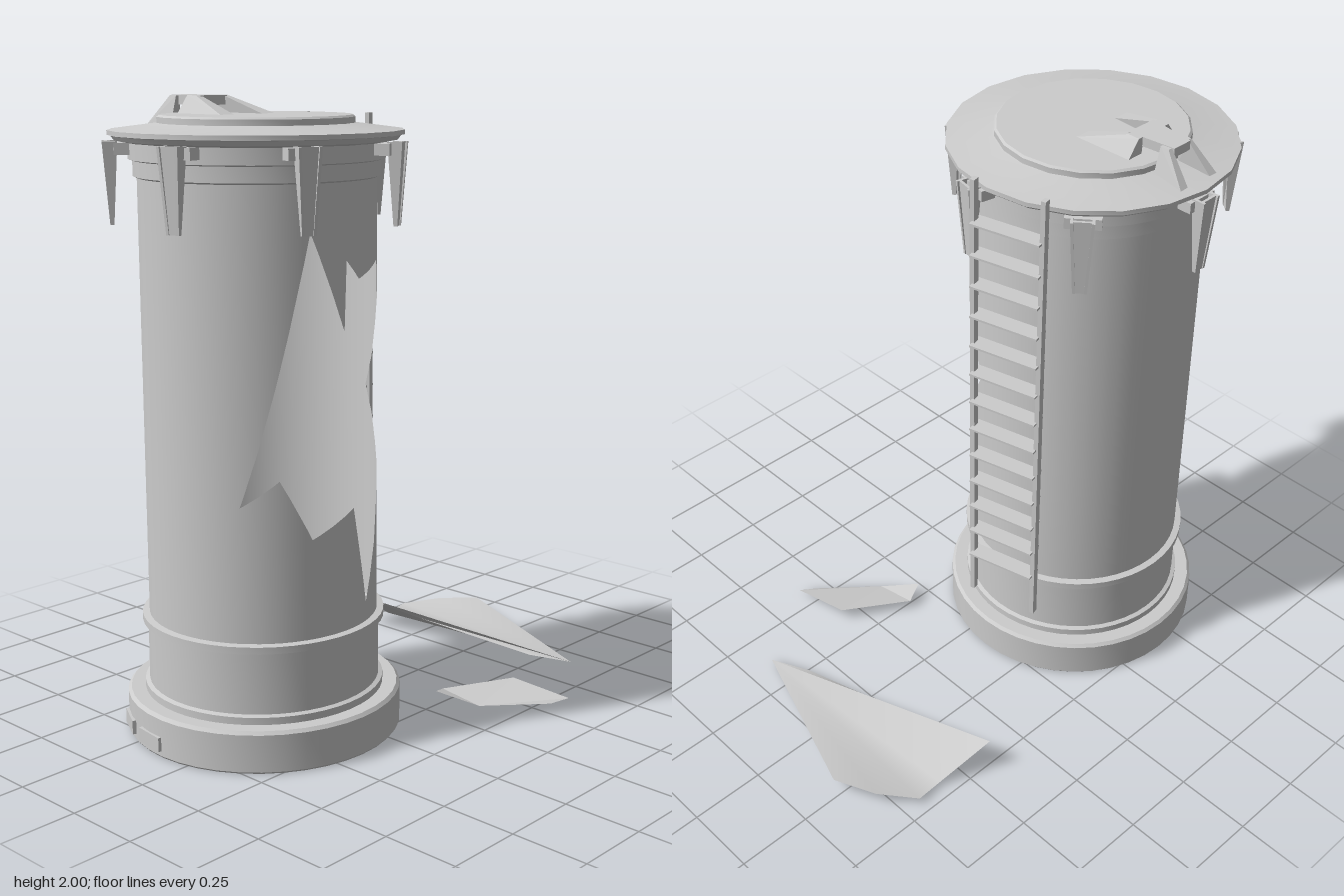
import * as THREE from 'three';
import { toCreasedNormals } from 'three/addons/utils/BufferGeometryUtils.js';
import { ConvexGeometry } from 'three/addons/geometries/ConvexGeometry.js';

const grey = new THREE.MeshStandardMaterial({ color: 0xcccccc, side: THREE.DoubleSide });
const flat = new THREE.MeshStandardMaterial({ color: 0xcccccc, side: THREE.DoubleSide, flatShading: true });
const R = 0.365, WALL_BOTTOM = 0.37, WALL_TOP = 1.77;

function add(parent, name, geometry, material = grey) {
  const mesh = new THREE.Mesh(geometry, material);
  mesh.name = name;
  parent.add(mesh);
  return mesh;
}
function box(parent, name, w, h, d, x, y, z) {
  const mesh = add(parent, name, new THREE.BoxGeometry(w, h, d));
  mesh.position.set(x, y, z);
  return mesh;
}
function lathe(parent, name, profile, segments) {
  const points = profile.map(([r, y]) => new THREE.Vector2(r, y));
  return add(parent, name, toCreasedNormals(new THREE.LatheGeometry(points, segments), 0.5));
}
function convex(parent, name, points) {
  return add(parent, name, new ConvexGeometry(points.map(p => new THREE.Vector3(...p))));
}
function lerpChain(chain, s) {
  for (let i = 0; i < chain.length - 1; i++) {
    const [s0, y0] = chain[i], [s1, y1] = chain[i + 1];
    if (s <= s0 && s >= s1) return y0 + (y1 - y0) * (s0 - s) / (s0 - s1);
  }
  return chain[chain.length - 1][1];
}

// Cylinder wall, split into columns that stop at the torn opening's lower and upper edges
function wallGeometry() {
  const upper = [[0.295, 0.81], [0.12, 1.62], [0, 1.32], [-0.01, 1.53], [-0.07, 1.47], [-0.21, 1.51], [-0.29, 1.30], [-0.34, 1.08]];
  const lower = [[0.295, 0.81], [0.21, 0.89], [0.12, 0.70], [-0.04, 0.77], [-0.11, 0.45], [-0.18, 0.62], [-0.22, 0.78], [-0.29, 0.91], [-0.34, 1.08]];
  const angleOf = s => Math.asin(s / R);
  const start = angleOf(-0.34), end = angleOf(0.295);
  const angles = [...upper, ...lower].map(p => angleOf(p[0]));
  for (let i = 0; i < 48; i++) angles.push(-Math.PI / 2 + i * Math.PI / 24);
  angles.push(Math.PI * 1.5);
  angles.sort((a, b) => a - b);

  const pos = [], norm = [], index = [];
  const vertex = (a, y) => {
    pos.push(R * Math.cos(a), y, R * Math.sin(a));
    norm.push(Math.cos(a), 0, Math.sin(a));
  };
  const quad = (a0, a1, b0, b1, t0, t1) => {
    const n = pos.length / 3;
    vertex(a0, b0); vertex(a1, b1); vertex(a1, t1); vertex(a0, t0);
    index.push(n, n + 3, n + 2, n, n + 2, n + 1);
  };
  for (let i = 0; i < angles.length - 1; i++) {
    const a0 = angles[i], a1 = angles[i + 1], mid = (a0 + a1) / 2;
    if (a1 - a0 < 1e-6) continue;
    if (mid < start || mid > end) {
      quad(a0, a1, WALL_BOTTOM, WALL_BOTTOM, WALL_TOP, WALL_TOP);
      continue;
    }
    const s0 = R * Math.sin(a0), s1 = R * Math.sin(a1);
    quad(a0, a1, WALL_BOTTOM, WALL_BOTTOM, lerpChain(lower, s0), lerpChain(lower, s1));
    quad(a0, a1, lerpChain(upper, s0), lerpChain(upper, s1), WALL_TOP, WALL_TOP);
  }
  const g = new THREE.BufferGeometry();
  g.setAttribute('position', new THREE.Float32BufferAttribute(pos, 3));
  g.setAttribute('normal', new THREE.Float32BufferAttribute(norm, 3));
  g.setIndex(index);
  return g;
}

// Thin fragment: a fan around its first corner
function shard(parent, name, corners) {
  const g = new THREE.BufferGeometry();
  g.setAttribute('position', new THREE.Float32BufferAttribute(corners.flat(), 3));
  const index = [];
  for (let i = 1; i < corners.length - 1; i++) index.push(0, i, i + 1);
  g.setIndex(index);
  g.computeVertexNormals();
  return add(parent, name, g);
}

// Channel-shaped clamp hanging from the lid, built along +x
function clamp(angle) {
  const g = new THREE.Group();
  g.name = 'lidClamp';
  for (const s of [-1, 1]) {
    const rib = [];
    for (const [r, y, w] of [[0.42, 1.87, 0.036], [0.466, 1.87, 0.036], [0.448, 1.62, 0.022], [0.436, 1.62, 0.022]])
      rib.push([r, y, s * w], [r, y, s * (w - 0.009)]);
    convex(g, 'clampRib', rib);
  }
  const web = [];
  for (const [r, y, w] of [[0.45, 1.87, 0.033], [0.459, 1.87, 0.033], [0.445, 1.62, 0.02], [0.437, 1.62, 0.02]])
    web.push([r, y, w], [r, y, -w]);
  convex(g, 'clampWeb', web);
  box(g, 'clampHinge', 0.055, 0.035, 0.11, 0.405, 1.848, 0);
  g.rotation.y = -angle;
  return g;
}

export function createModel() {
  const model = new THREE.Group();
  const tank = new THREE.Group();
  tank.name = 'tank';
  tank.position.set(-0.1, 0, 0.4);
  model.add(tank);

  // Base, lower drum and torn wall
  lathe(tank, 'base', [[0, 0], [0.435, 0], [0.44, 0.006], [0.44, 0.125], [0.43, 0.135], [0, 0.135]], 40);
  lathe(tank, 'lowerDrum', [[0.384, 0.135], [0.384, 0.158], [0.37, 0.163], [0.37, 0.36], [0.387, 0.362],
    [0.387, 0.384], [0.365, 0.387]], 48);
  add(tank, 'tornWall', wallGeometry());

  // Neck, lid and ceiling
  lathe(tank, 'neck', [[0.365, 1.76], [0.377, 1.765], [0.377, 1.812], [0.39, 1.816], [0.39, 1.875]], 48);
  lathe(tank, 'lid', [[0, 1.86], [0.39, 1.865], [0.43, 1.872], [0.44, 1.886], [0.451, 1.888], [0.451, 1.902],
    [0.31, 1.92], [0.302, 1.922], [0.302, 1.94], [0.295, 1.946], [0, 1.946]], 20);
  const ceiling = add(tank, 'ceiling', new THREE.CircleGeometry(R, 48));
  ceiling.rotation.x = Math.PI / 2;
  ceiling.position.y = 1.755;

  for (let i = 0; i < 7; i++) tank.add(clamp(0.43 + i * Math.PI * 2 / 7));

  // Small blocks on the base
  for (const a of [2.07, 1.7]) {
    const block = box(tank, 'baseBlock', 0.11, 0.045, 0.03, 0.432 * Math.cos(a), 0.045, 0.432 * Math.sin(a));
    block.rotation.y = Math.PI / 2 - a;
  }

  // Latch on the lid
  const latch = new THREE.Group();
  latch.name = 'latch';
  latch.position.set(0, 0, 0.41);
  model.add(latch);
  for (const s of [-1, 1]) {
    convex(latch, 'latchFrontLeg', [
      [-0.33, 1.94, s * 0.05], [-0.33, 1.94, s * 0.11], [-0.11, 1.94, s * 0.06], [-0.11, 1.94, s * 0.117],
      [-0.33, 2, s * 0.045], [-0.33, 2, s * 0.065], [-0.29, 2, s * 0.045], [-0.29, 2, s * 0.065]]);
    convex(latch, 'latchRearLeg', [
      [-0.52, 1.895, s * 0.05], [-0.52, 1.895, s * 0.083], [-0.4, 1.905, s * 0.035], [-0.4, 1.905, s * 0.075],
      [-0.43, 1.998, s * 0.035], [-0.43, 1.998, s * 0.05], [-0.4, 1.998, s * 0.035], [-0.4, 1.998, s * 0.05]]);
  }
  const bar = [];
  for (const y of [1.97, 2]) for (const s of [-1, 1]) bar.push([-0.44, y, s * 0.035], [-0.28, y, s * 0.055]);
  convex(latch, 'latchBar', bar);

  // Ladder at the back
  const ladder = new THREE.Group();
  ladder.name = 'ladder';
  ladder.position.set(-0.2, 0, -0.056);
  ladder.rotation.y = 0.25;
  model.add(ladder);
  for (const s of [-1, 1]) box(ladder, 'ladderRail', 0.016, 1.62, 0.023, s * 0.118, 1.13, 0);
  for (let i = 0; i < 13; i++) box(ladder, 'rung', 0.236, 0.007, 0.058, 0, 0.492 + i * 0.109, 0);

  // Torn-off fragments on the ground
  shard(model, 'largeFragment', [[0.37, 0.012, -0.65], [0.23, 0.008, -0.68], [-0.23, 0.06, -0.86], [-0.36, 0.045, -0.79],
    [-0.46, 0.025, -0.69], [-0.45, 0.015, -0.59], [-0.51, 0.13, -0.42], [-0.21, 0.075, -0.5], [0.23, 0.02, -0.59]]);
  shard(model, 'smallFragment', [[0.38, 0.012, -0.12], [0.54, 0.01, -0.3], [0.57, 0.02, -0.36], [0.36, 0.045, -0.33],
    [0.23, 0.035, -0.11], [0.26, 0.055, -0.04]]).material = flat;

  return model;
}
